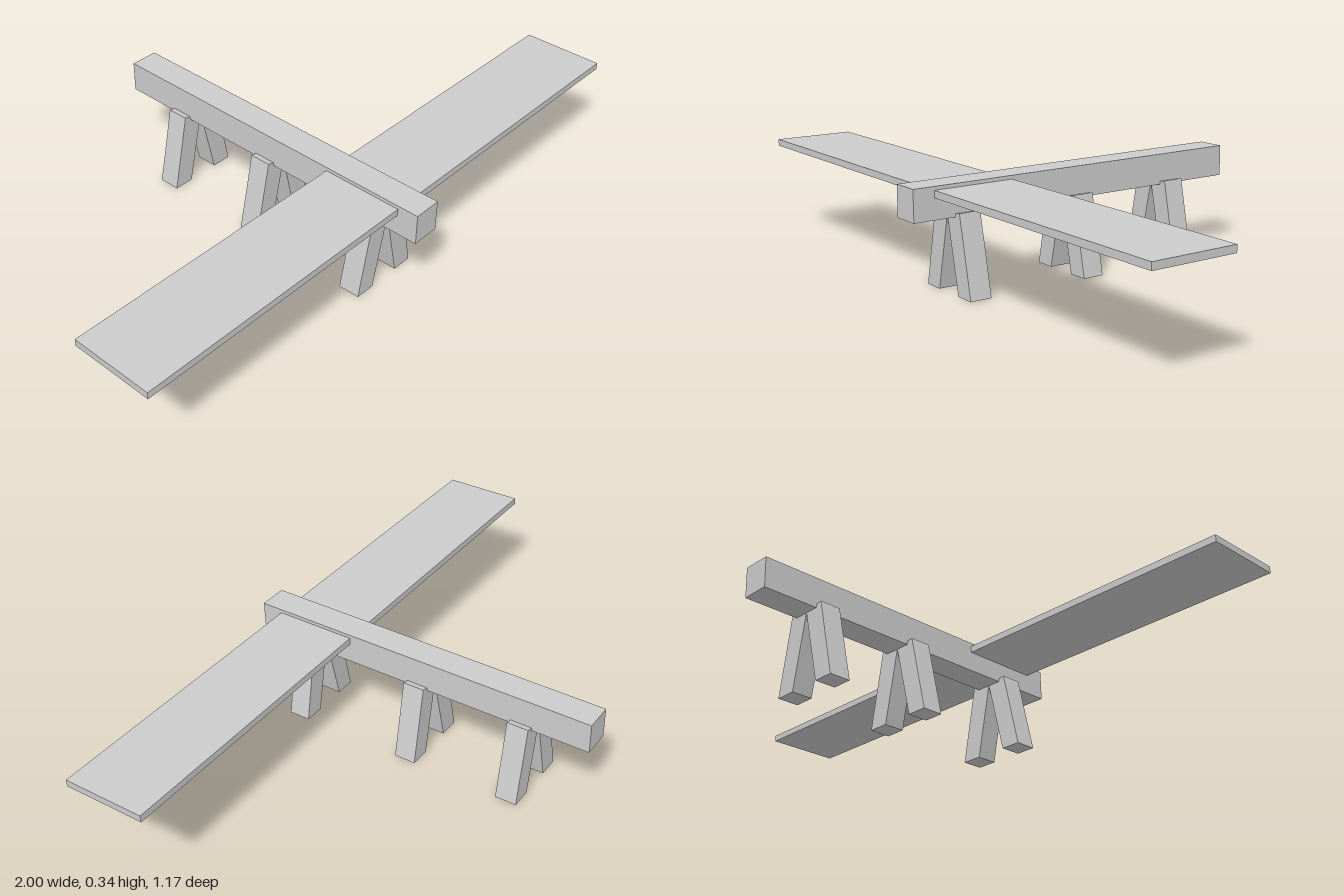
import * as THREE from 'three';

const material = new THREE.MeshStandardMaterial({ color: 0xcccccc, flatShading: true });

function addBox(group, name, size, position) {
  const mesh = new THREE.Mesh(new THREE.BoxGeometry(...size), material);
  mesh.name = name;
  mesh.position.set(...position);
  group.add(mesh);
}

// Slanted leg: flat foot, top end cut square to the slope; side is +1 (left) or -1 (right)
function makeLeg(side, depth) {
  const corners = [[0.053, 0], [0.12, 0], [0.067, 0.252], [0, 0.238]];
  const shape = new THREE.Shape(corners.map(([x, y]) => new THREE.Vector2(side * x, y)));
  const geometry = new THREE.ExtrudeGeometry(shape, { depth, bevelEnabled: false });
  return new THREE.Mesh(geometry.translate(0, 0, -depth / 2), material);
}

export function createModel() {
  const model = new THREE.Group();
  model.name = 'wingedInsect';

  // Long beam body and one flat wing plank through its front
  addBox(model, 'body', [0.092, 0.099, 1.168], [0, 0.287, 0]);
  addBox(model, 'wings', [2, 0.022, 0.266], [0, 0.314, 0.382]);

  // Three pairs of splayed legs
  const pairs = { front: 0.411, middle: 0.002, rear: -0.36 };
  for (const [place, z] of Object.entries(pairs)) {
    for (const side of [1, -1]) {
      const leg = makeLeg(side, 0.071);
      leg.name = place + (side > 0 ? 'LeftLeg' : 'RightLeg');
      leg.position.z = z;
      model.add(leg);
    }
  }
  return model;
}
